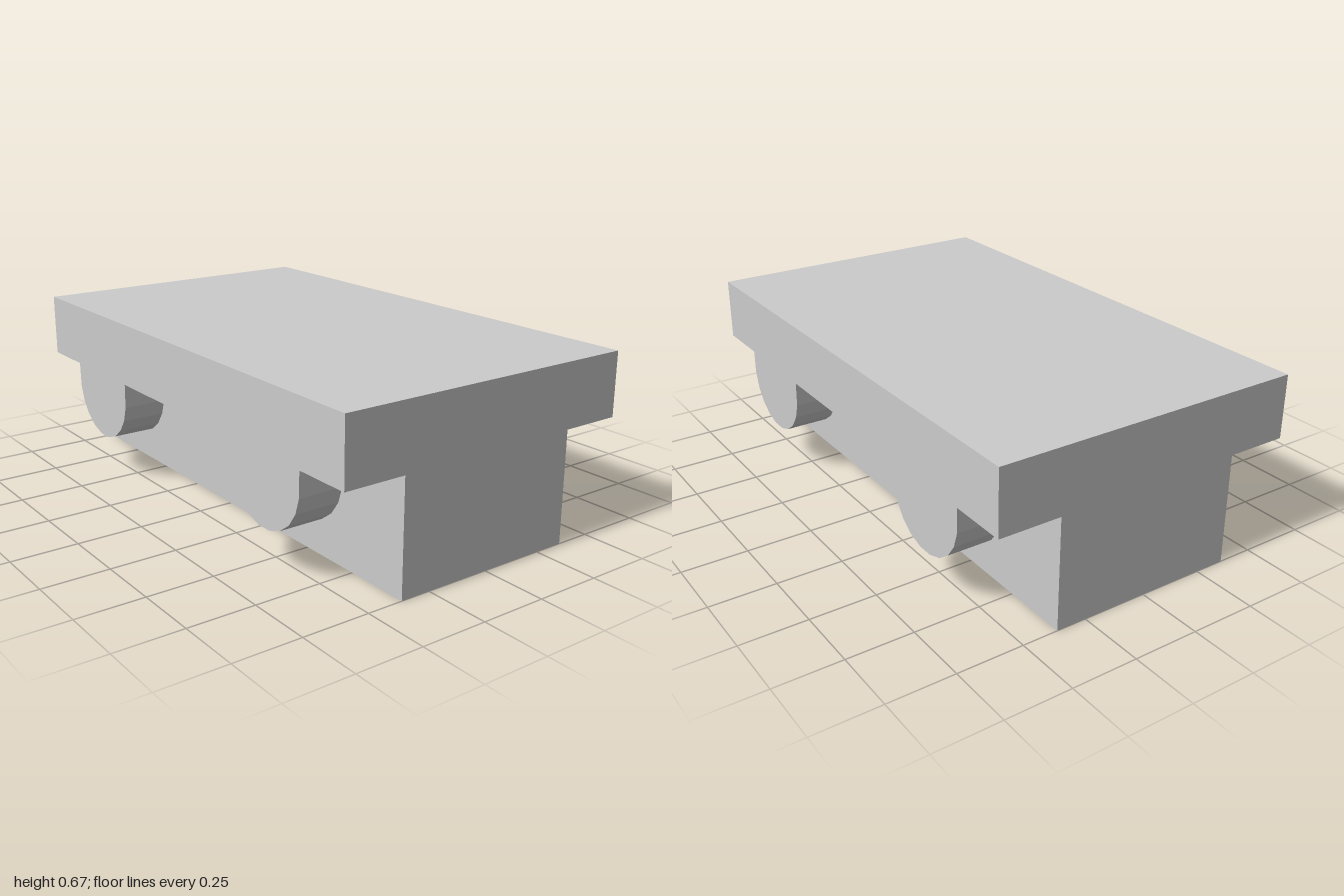
import * as THREE from 'three';

const DECK_BOTTOM = 0.423, TOP = 0.665, HALF_DEPTH = 0.6, BLOCK = 0.365;
const WHEEL_X = 0.577, WHEEL_Y = 0.36, WHEEL_R = 0.2, WHEEL_INNER = 0.43;

export function createModel() {
  const group = new THREE.Group();
  const material = new THREE.MeshStandardMaterial({ color: 0xcccccc, flatShading: true });

  const extrude = (points, depth) => new THREE.ExtrudeGeometry(
    new THREE.Shape(points.map(([x, y]) => new THREE.Vector2(x, y))),
    { depth, bevelEnabled: false });

  // T-shaped body: wide deck on a narrower block, extruded along x
  const body = new THREE.Mesh(extrude([
    [-BLOCK, 0], [BLOCK, 0], [BLOCK, DECK_BOTTOM], [HALF_DEPTH, DECK_BOTTOM],
    [HALF_DEPTH, TOP], [-HALF_DEPTH, TOP], [-HALF_DEPTH, DECK_BOTTOM], [-BLOCK, DECK_BOTTOM],
  ], 2).translate(0, 0, -1).rotateY(Math.PI / 2), material);
  body.name = 'deckAndBlock';
  group.add(body);

  // Wheel profile: short upright sides above a faceted half circle
  const profile = [[-WHEEL_R, DECK_BOTTOM]];
  for (let i = 0; i < 10; i++) {
    const a = Math.PI * (189 + 18 * i) / 180;
    profile.push([WHEEL_R * Math.cos(a), WHEEL_Y + WHEEL_R * Math.sin(a)]);
  }
  profile.push([WHEEL_R, DECK_BOTTOM]);
  const wheelGeometry = extrude(profile, HALF_DEPTH - WHEEL_INNER);

  // Four wheels, flush with the long sides of the deck
  for (const [end, z] of [['front', WHEEL_INNER], ['back', -HALF_DEPTH]]) {
    for (const [side, x] of [['Left', WHEEL_X], ['Right', -WHEEL_X]]) {
      const wheel = new THREE.Mesh(wheelGeometry, material);
      wheel.position.set(x, 0, z);
      wheel.name = `${end}${side}Wheel`;
      group.add(wheel);
    }
  }
  return group;
}
